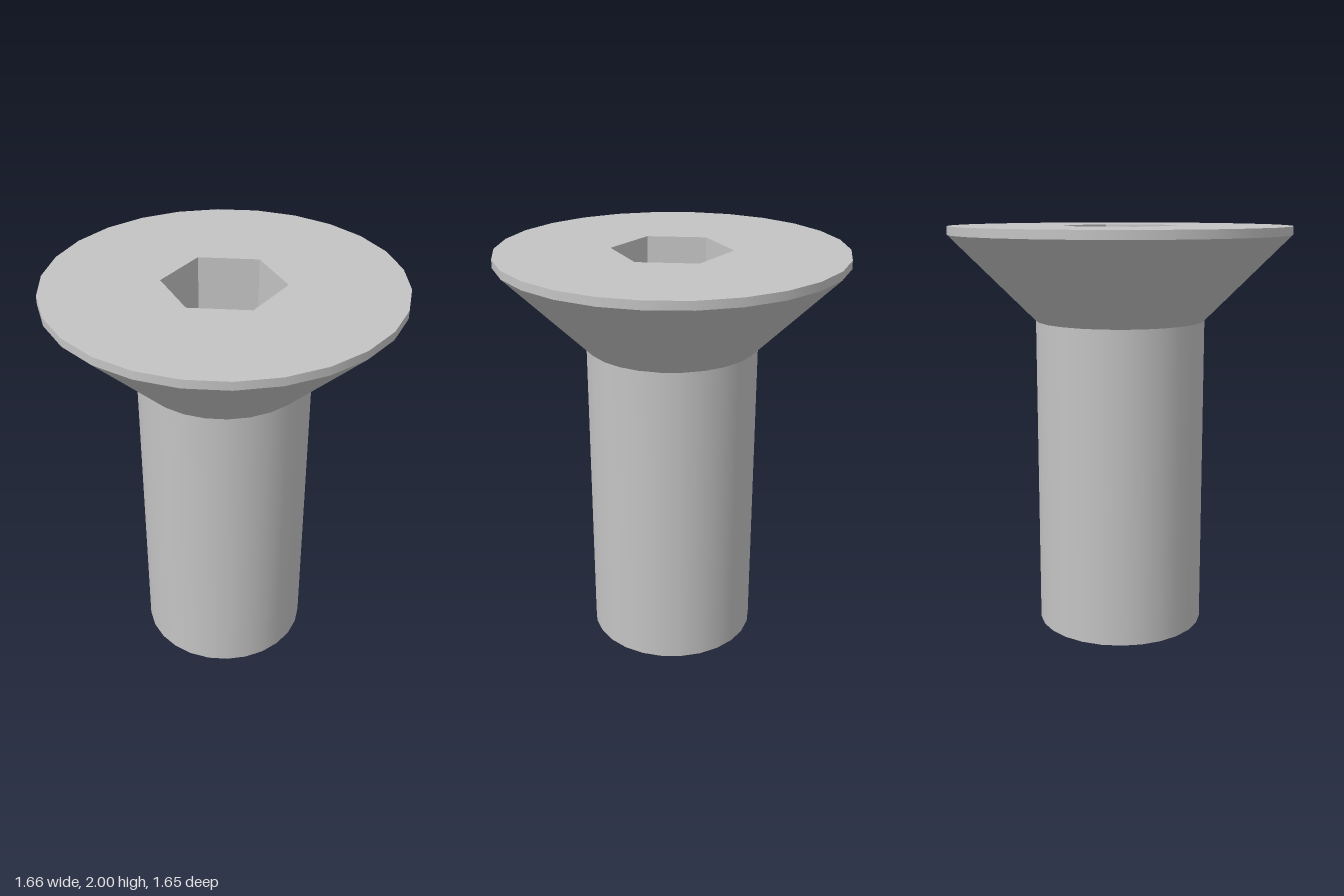
import * as THREE from 'three';

const SIDES = 26;
const RIM_R = 0.83, SHAFT_R = 0.415, HEX_R = 0.288;
const TOP = 2, RIM_Y = 1.96, NECK_Y = 1.545, SOCKET_DEPTH = 0.36;

// Corner points of a regular polygon, first corner on +x
function polygon(radius, sides) {
  return Array.from({ length: sides }, (_, i) => {
    const a = (i / sides) * Math.PI * 2;
    return new THREE.Vector2(radius * Math.cos(a), radius * Math.sin(a));
  });
}

export function createModel() {
  const screw = new THREE.Group();
  screw.name = 'countersunkScrew';
  const steel = new THREE.MeshStandardMaterial({ color: 0xc4c4c4, side: THREE.DoubleSide });
  steel.name = 'steel grey';

  const add = (name, geometry, y = 0) => {
    const mesh = new THREE.Mesh(geometry, steel);
    mesh.name = name;
    mesh.position.y = y;
    screw.add(mesh);
    return mesh;
  };

  // Open round bands: shaft, countersunk cone and thin rim
  const band = (name, rTop, rBottom, y0, y1) =>
    add(name, new THREE.CylinderGeometry(rTop, rBottom, y1 - y0, SIDES, 1, true, Math.PI / 2), (y0 + y1) / 2);
  band('shaft', SHAFT_R, SHAFT_R, 0, NECK_Y);
  band('headCone', RIM_R, SHAFT_R, NECK_Y, RIM_Y);
  band('headRim', RIM_R, RIM_R, RIM_Y, TOP);

  // Flat head face with a hexagonal opening
  const face = new THREE.Shape(polygon(RIM_R, SIDES));
  face.holes.push(new THREE.Path(polygon(HEX_R, 6)));
  add('headFace', new THREE.ShapeGeometry(face).rotateX(-Math.PI / 2), TOP);

  // Hex socket: flat walls facing inward, and a floor
  const walls = new THREE.CylinderGeometry(HEX_R, HEX_R, SOCKET_DEPTH, 6, 1, true, Math.PI / 2)
    .scale(-1, 1, 1).toNonIndexed();
  walls.computeVertexNormals();
  add('socketWalls', walls, TOP - SOCKET_DEPTH / 2);
  const floor = new THREE.ShapeGeometry(new THREE.Shape(polygon(HEX_R, 6))).rotateX(-Math.PI / 2);
  add('socketFloor', floor, TOP - SOCKET_DEPTH);

  return screw;
}
